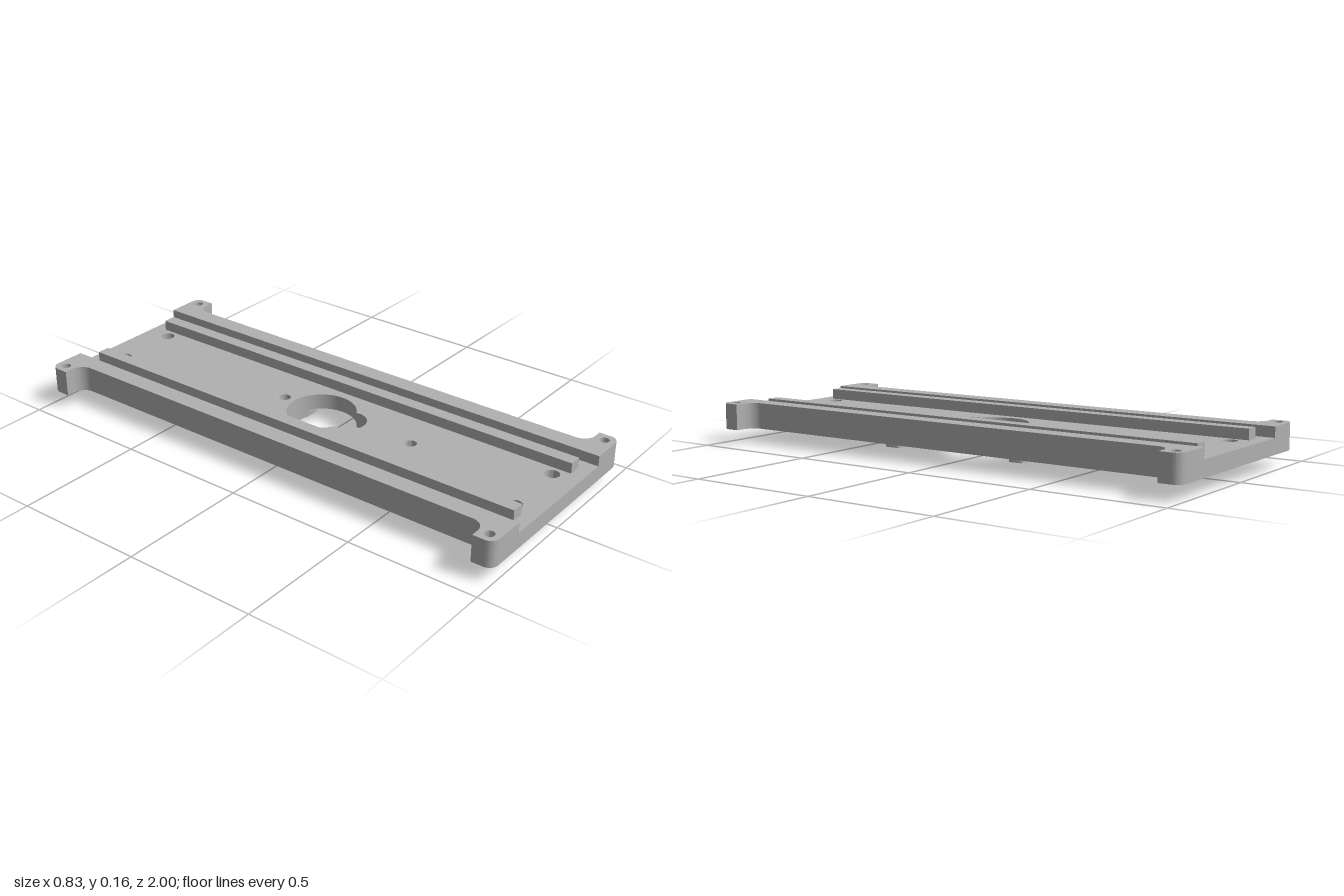
import * as THREE from 'three';
import { toCreasedNormals } from 'three/addons/utils/BufferGeometryUtils.js';

const FLOOR = 0.055, DECK = 0.115, TOP = 0.155;

// Circular hole at plan position x, z (shape y is -z)
function hole(x, z, r) {
  return new THREE.Path().absarc(x, -z, r, 0, Math.PI * 2, false);
}

// Plan shape raised between two heights
function slab(name, shape, y0, y1, material) {
  const raw = new THREE.ExtrudeGeometry(shape, { depth: y1 - y0, bevelEnabled: false, curveSegments: 24 });
  raw.rotateX(-Math.PI / 2).translate(0, y0, 0);
  const mesh = new THREE.Mesh(toCreasedNormals(raw, 0.6), material);
  mesh.name = name;
  return mesh;
}

// Outer edge of one long side with its two ears, from z = 1 to z = -1
function sideEdge(shape) {
  const W = 0.417, B = 0.335, E = 0.92, r = 0.035, f = 0.05;
  shape.lineTo(W - r, -1);
  shape.absarc(W - r, -1 + r, r, -Math.PI / 2, 0, false);
  shape.lineTo(W, -E);
  shape.lineTo(B + f, -E);
  shape.absarc(B + f, -E + f, f, -Math.PI / 2, -Math.PI, true);
  shape.lineTo(B, E - f);
  shape.absarc(B + f, E - f, f, Math.PI, Math.PI / 2, true);
  shape.lineTo(W, E);
  shape.lineTo(W, 1 - r);
  shape.absarc(W - r, 1 - r, r, 0, Math.PI / 2, false);
}

// Half outline mirrored to the given side, starting at inner edge x
function railShape(side, inner) {
  const half = new THREE.Shape();
  half.moveTo(inner, -1);
  sideEdge(half);
  half.lineTo(inner, 1);
  half.closePath();
  const pts = half.getPoints(12).map(p => new THREE.Vector2(p.x * side, p.y));
  const shape = new THREE.Shape(pts);
  for (const e of [-1, 1]) shape.holes.push(hole(side * 0.378, e * 0.96, 0.018));
  return shape;
}

function plateShape() {
  const half = new THREE.Shape();
  half.moveTo(0, -1);
  sideEdge(half);
  const right = half.getPoints(12);
  const left = right.slice(1).reverse().map(p => new THREE.Vector2(-p.x, p.y));
  const shape = new THREE.Shape([...right, ...left]);

  // Keyhole: large circle with a smaller lobe towards the front
  const key = new THREE.Path();
  const a = Math.atan2(-0.1121, 0.0658), b = Math.atan2(0.0129, 0.0658);
  key.absarc(0, 0, 0.13, a, Math.PI - a, false);
  key.absarc(0, -0.125, 0.067, Math.PI - b, Math.PI * 2 + b, false);
  shape.holes.push(key, hole(0, -0.175, 0.022), hole(0, 0.4, 0.022));
  for (const sx of [-1, 1]) for (const sz of [-1, 1]) {
    shape.holes.push(hole(sx * 0.378, sz * 0.96, 0.018), hole(sx * 0.123, sz * 0.9, 0.027));
  }
  return shape;
}

// Rounded foot outline between two z values, optionally cut by the keyhole
function footShape(zBack, zFront, holeZ, cut) {
  const w = 0.124, r = 0.01, y0 = -zFront, y1 = -zBack;
  const s = new THREE.Shape();
  s.moveTo(-w + r, y0);
  if (cut) {
    const a = Math.asin(y0 / 0.13);
    s.absarc(0, 0, 0.13, Math.PI - a, a, true);
  }
  s.lineTo(w - r, y0);
  s.absarc(w - r, y0 + r, r, -Math.PI / 2, 0, false);
  s.absarc(w - r, y1 - r, r, 0, Math.PI / 2, false);
  s.absarc(-w + r, y1 - r, r, Math.PI / 2, Math.PI, false);
  s.absarc(-w + r, y0 + r, r, Math.PI, Math.PI * 1.5, false);
  s.holes.push(hole(0, holeZ, 0.022));
  return s;
}

export function createModel() {
  const grey = new THREE.MeshStandardMaterial({ color: 0xb0b0b0 });
  grey.name = 'plain grey';
  const model = new THREE.Group();
  model.name = 'mountingPlate';

  model.add(slab('basePlate', plateShape(), FLOOR, DECK, grey));

  // Raised outer rails and inner guide ribs
  for (const side of [-1, 1]) {
    const label = side > 0 ? 'left' : 'right';
    model.add(slab(label + 'Rail', railShape(side, 0.265), DECK, TOP, grey));
    const rib = new THREE.Mesh(new THREE.BoxGeometry(0.05, TOP - DECK, 1.9), grey);
    rib.position.set(side * 0.189, (TOP + DECK) / 2, 0);
    rib.name = label + 'GuideRib';
    model.add(rib);
  }

  // Two stepped feet underneath
  const front = new THREE.Group(), back = new THREE.Group();
  front.name = 'frontFoot';
  back.name = 'backFoot';
  front.add(
    slab('frontFootBlock', footShape(0.345, 0.44, 0.4, false), 0.025, FLOOR, grey),
    slab('frontFootStep', footShape(0.358, 0.426, 0.4, false), 0, 0.025, grey));
  back.add(
    slab('backFootBlock', footShape(-0.21, -0.115, -0.175, true), 0.025, FLOOR, grey),
    slab('backFootStep', footShape(-0.21, -0.15, -0.175, false), 0, 0.025, grey));
  model.add(front, back);
  return model;
}
